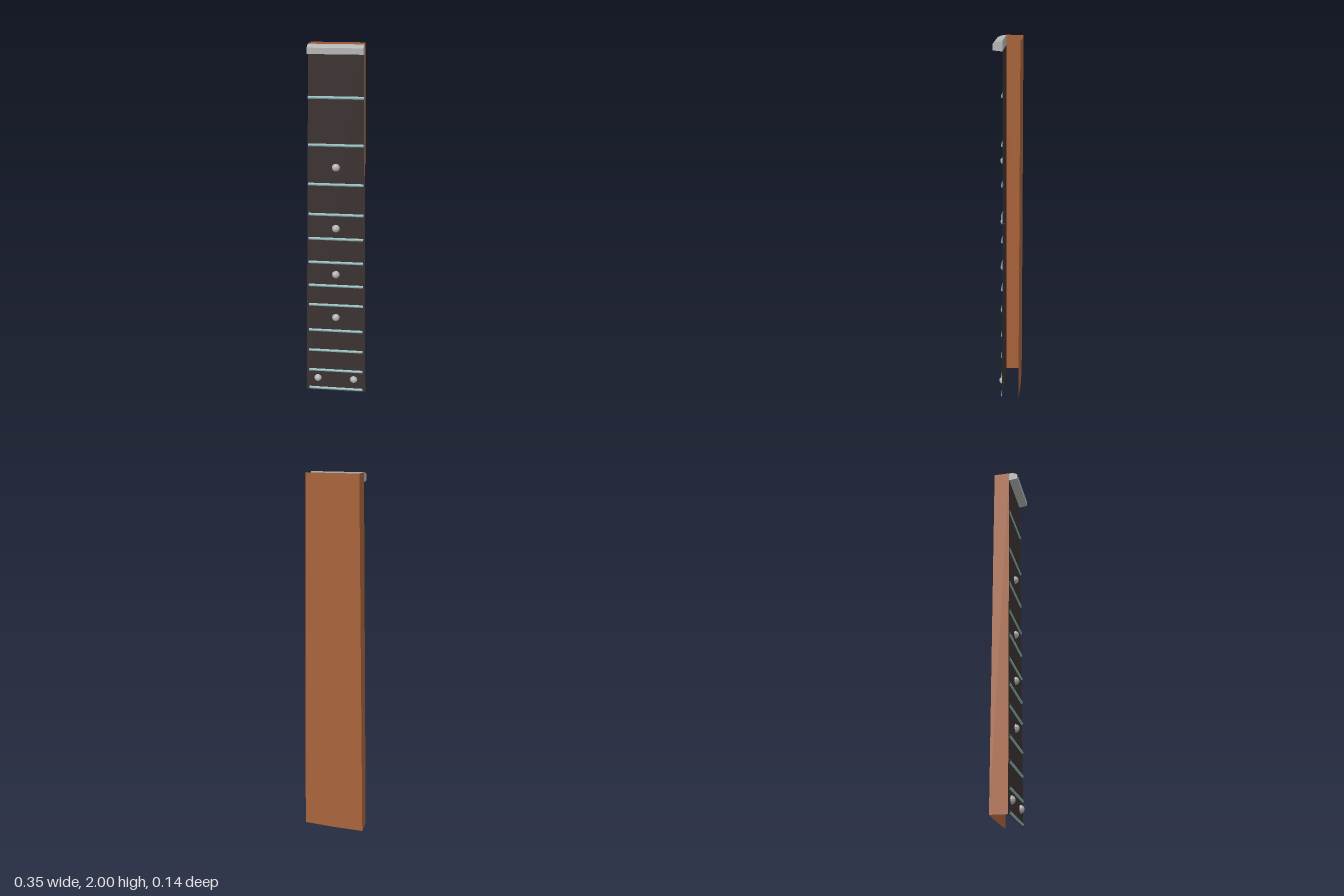
import * as THREE from 'three';

const mat = (name, color, extra = {}) => {
  const m = new THREE.MeshStandardMaterial({ color, side: THREE.DoubleSide, ...extra });
  m.name = name;
  return m;
};

// Surface from a strip of points: lower row and upper row, joined by flat quads
function strip(lower, upper) {
  const pos = [];
  for (let i = 0; i < lower.length - 1; i++) {
    const [a, b, c, d] = [lower[i], lower[i + 1], upper[i + 1], upper[i]];
    pos.push(...a, ...b, ...c, ...a, ...c, ...d);
  }
  const g = new THREE.BufferGeometry();
  g.setAttribute('position', new THREE.Float32BufferAttribute(pos, 3));
  g.computeVertexNormals();
  return g;
}

export function createModel() {
  const group = new THREE.Group();
  group.name = 'fretboardNeck';
  const wood = mat('neck wood', 0xa8633a);
  const dark = mat('dark fingerboard', 0x3b3230);
  const steel = mat('fret metal', 0x8db3b5, { flatShading: true });
  const bone = mat('nut and inlay grey', 0xb4b4b4, { flatShading: true });

  const add = (name, geometry, material) => {
    const m = new THREE.Mesh(geometry, material);
    m.name = name;
    group.add(m);
    return m;
  };
  const boardZ = (y) => 0.025 - 0.002 * y;

  // Tapered fingerboard
  add('fingerboard', strip(
    [[-0.173, 0, 0.025], [0.174, 0, 0.025]],
    [[-0.141, 2, 0.021], [0.143, 2, 0.021]]), dark);

  // Back of the neck, with a shallow ridge down the middle
  add('neckBack', strip(
    [[0.166, 0, -0.067], [0, 0, -0.071], [-0.178, 0, -0.067]],
    [[0.141, 2, -0.067], [0, 2, -0.071], [-0.141, 2, -0.067]]), wood);

  // Single side wall; the other side is open
  add('neckSide', strip(
    [[-0.178, 0, -0.067], [-0.173, 0, 0.025]],
    [[-0.141, 2, -0.067], [-0.141, 2, 0.021]]), wood);

  // Nut: bevelled profile in (z, y), extruded across x
  const profile = new THREE.Shape([
    [0.021, 1.95], [0.069, 1.955], [0.069, 1.986], [0.05, 1.996], [0.021, 2],
  ].map(([z, y]) => new THREE.Vector2(-z, y)));
  const nut = new THREE.ExtrudeGeometry(profile, { depth: 0.284, bevelEnabled: false });
  nut.rotateY(Math.PI / 2).translate(-0.141, 0, 0);
  add('nut', nut, bone);

  // Frets: half-round bars
  const frets = [1.73, 1.48, 1.265, 1.095, 0.955, 0.815, 0.675, 0.555, 0.395, 0.265, 0.135, 0.015];
  for (const y of frets) {
    const width = 0.314 - 0.014 * y;
    const g = new THREE.CylinderGeometry(0.008, 0.008, width, 6, 1, true, -Math.PI / 2, Math.PI);
    g.rotateZ(Math.PI / 2);
    add('fret', g, steel).position.set(0, y, boardZ(y));
  }

  // Inlay dots: faceted domes
  const dots = [[0, 1.36], [0, 1.017], [0, 0.745], [0, 0.48], [-0.105, 0.083], [0.105, 0.083]];
  for (const [x, y] of dots) {
    const g = new THREE.SphereGeometry(0.022, 10, 4, 0, Math.PI * 2, 0, Math.PI / 2);
    g.rotateX(Math.PI / 2);
    add('inlayDot', g, bone).position.set(x, y, boardZ(y));
  }
  return group;
}
